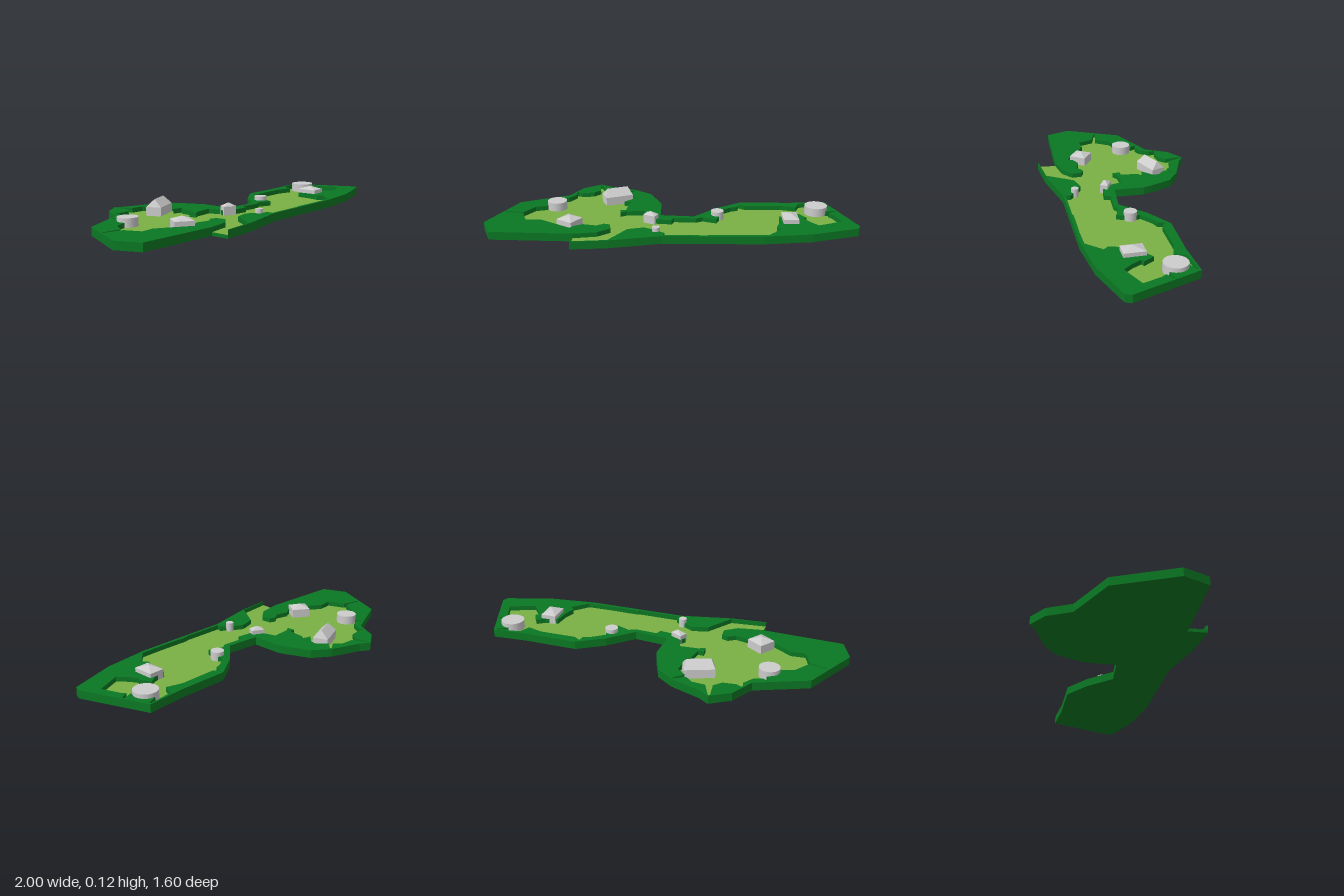
import * as THREE from 'three';

const FLOOR = 0.02, RIM = 0.05, EAVES = 0.075;

// Ground plan in hundredths of a unit, as x, z pairs.
// Outer edge: from the gate's east post round to its west post.
const outerPlan = [
  -31.5, 63, -14, 49, 8, 26, 59, -8, 81, -27, 100, -51, 99, -55, 63, -80, 45, -66,
  18.5, -48.5, 11, -31, 7, -11, -11.5, -1, -22, -17, -27.5, -21, -39, -28.5, -52, -29,
  -71, -24.5, -78, -24.5, -83.5, -12, -82, 4, -100, 32, -94.5, 70, -81, 79.5, -37.5, 53,
];
// Inner edge of the bank, same direction, with narrow gullies cut into it.
const innerEast = [
  -31, 62, -14.7, 48.5, -15, 29, -11, 24, -8, 21, -1, 20.5, 7, 21, 8, 24, 14, 20,
  30, 9.5, 31, 8, 48, -3, 60, -11.5, 62, -24, 58, -25, 56, -32, 51, -41, 57, -47,
  59, -52, 66, -49, 65, -47, 71, -44, 78, -42, 87, -56, 77, -63, 74, -64,
  76.7, -69.3, 75.6, -69.8, 72, -65, 66, -66, 63, -69, 58, -69, 63.4, -78, 62.4, -78.5,
  54, -71, 51, -68, 52.5, -61, 43, -58, 24, -45, 19, -45, 21, -41, 18, -37, 15, -28,
  18, -26, 20, -20, 21, -15, 12, -13, 10, -9, -2, -2, -1, 2,
];
const innerWest = [
  -9, 6, -18, 8, -18, 4, -24, -1, -33, 6, -35, 10, -38, 6, -35, 4, -40, -6, -39, -9,
  -45, -7, -43, -15, -45, -19, -52.5, -20, -51, -27.5, -52, -28, -55, -21, -61, -22,
  -68, -18, -77, -23.8, -78, -23, -71, -15, -72, -9, -78, -4, -81.5, -3.5, -81.5, -2.5,
  -79, 0, -79, 8, -82, 12, -86, 12.5, -86, 13.5, -82, 15, -84, 20, -81, 27, -86, 33,
  -86, 44, -96.5, 48.5, -96.5, 49.8, -85, 46, -76, 52.5, -69, 47, -45, 47, -45, 43,
  -42, 38, -34, 35, -32, 30, -28, 29, -24, 34, -27, 43,
];

function points(plan) {
  const list = [];
  for (let i = 0; i < plan.length; i += 2) {
    list.push(new THREE.Vector2(plan[i] / 100, -plan[i + 1] / 100));
  }
  return list;
}

// Upright prism standing on a ground plan
function slab(plan, bottom, top) {
  const geo = new THREE.ExtrudeGeometry(new THREE.Shape(plan), { depth: top - bottom, bevelEnabled: false });
  return geo.rotateX(-Math.PI / 2).translate(0, bottom, 0);
}

// Hipped roof; a ridge of zero length gives a pyramid
function roofGeometry(length, width, ridge, rise) {
  const l = length / 2, w = width / 2, r = ridge / 2;
  const a = [-l, 0, -w], b = [l, 0, -w], c = [l, 0, w], d = [-l, 0, w];
  const p = [-r, rise, 0], q = [r, rise, 0];
  const faces = [d, c, q, b, a, p, c, b, q, a, d, p];
  if (ridge > 0) faces.push(d, q, p, b, p, q);
  const geo = new THREE.BufferGeometry();
  geo.setAttribute('position', new THREE.Float32BufferAttribute(faces.flat(), 3));
  geo.computeVertexNormals();
  return geo;
}

export function createModel() {
  const bankGreen = new THREE.MeshStandardMaterial({ color: 0x0b7823 });
  const grassGreen = new THREE.MeshStandardMaterial({ color: 0x7ab043 });
  const stoneGrey = new THREE.MeshStandardMaterial({ color: 0xcccccc });
  bankGreen.name = 'bankGreen';
  grassGreen.name = 'grassGreen';
  stoneGrey.name = 'stoneGrey';

  const model = new THREE.Group();
  model.name = 'terrain';
  const add = (name, geo, material, parent = model) => {
    const mesh = new THREE.Mesh(geo, material);
    mesh.name = name;
    parent.add(mesh);
    return mesh;
  };

  // Ground: base, raised bank and sunken grass floor open at the gate
  const outer = points(outerPlan);
  const inner = [...points(innerEast), ...points(innerWest)];
  add('base', slab(outer, 0, FLOOR), bankGreen);
  add('bank', slab([...outer, ...[...inner].reverse()], FLOOR, RIM), bankGreen);
  const floorPlan = new THREE.Shape([...inner, outer[outer.length - 1], outer[0]]);
  const floor = new THREE.ShapeGeometry(floorPlan).rotateX(-Math.PI / 2);
  add('grassFloor', floor.translate(0, FLOOR + 0.001, 0), grassGreen);

  // Round towers: x, z, radius
  const towers = [[0.64, -0.66, 0.072], [0.17, -0.225, 0.04], [0.007, 0.21, 0.024], [-0.78, 0.21, 0.062]];
  for (const [x, z, radius] of towers) {
    const height = EAVES - FLOOR;
    const geo = new THREE.CylinderGeometry(radius, radius, height, 20);
    add('roundTower', geo, stoneGrey).position.set(x, FLOOR + height / 2, z);
  }

  // Houses: x, z, length, width, ridge, roof rise, turn
  const houses = [
    [-0.51, 0.4, 0.115, 0.11, 0, 0.023, 0],
    [0.592, -0.4, 0.13, 0.095, 0, 0.021, -0.96],
    [-0.138, 0.062, 0.08, 0.05, 0, 0.021, 0.13],
    [-0.53, -0.103, 0.18, 0.095, 0.14, 0.047, 0.97],
  ];
  for (const [x, z, length, width, ridge, rise, turn] of houses) {
    const house = new THREE.Group();
    house.name = 'house';
    house.position.set(x, 0, z);
    house.rotation.y = turn;
    const height = EAVES - FLOOR;
    add('walls', new THREE.BoxGeometry(length, height, width), stoneGrey, house).position.y = FLOOR + height / 2;
    add('roof', roofGeometry(length, width, ridge, rise), stoneGrey, house).position.y = EAVES;
    model.add(house);
  }
  return model;
}
